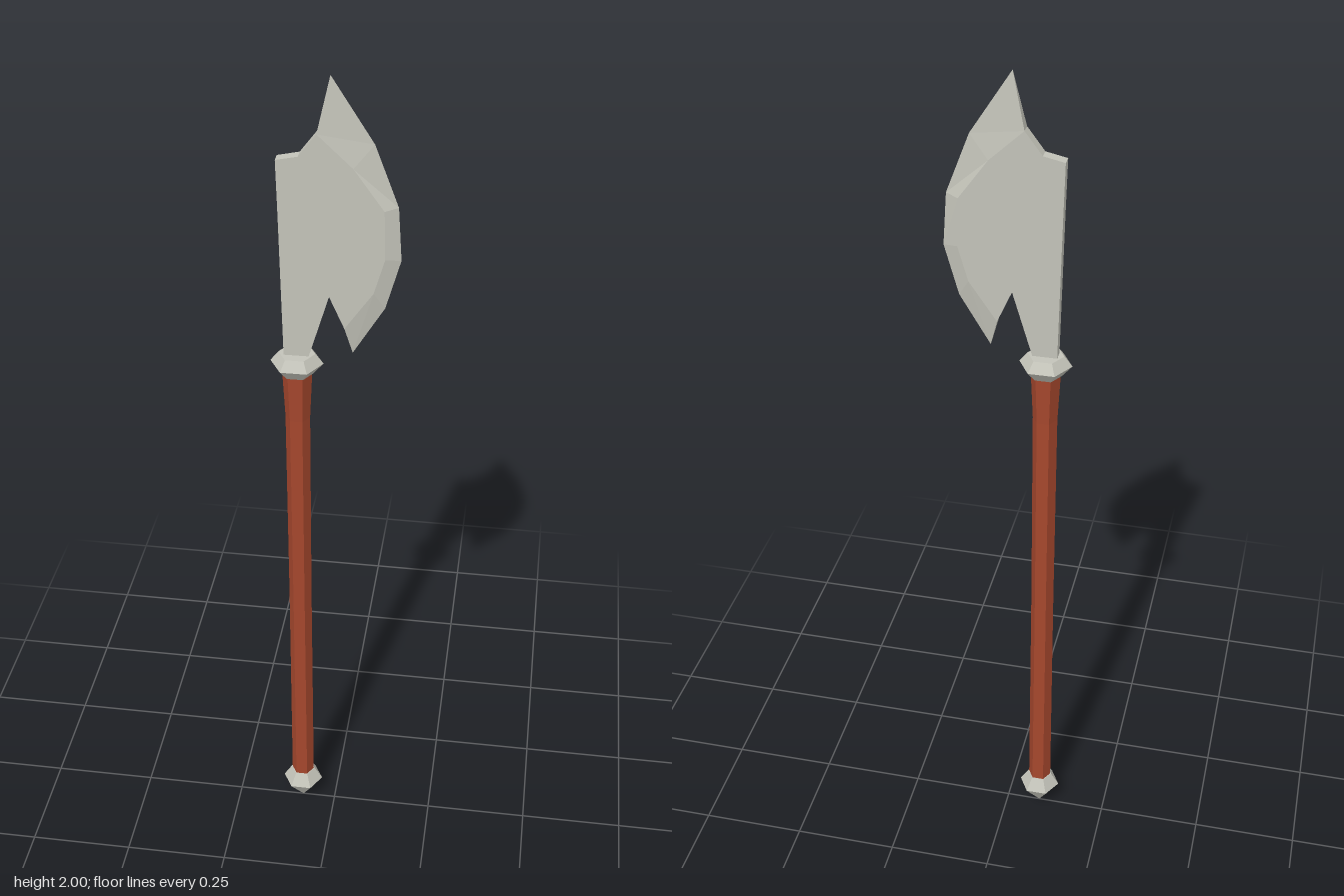
import * as THREE from 'three';

const steel = new THREE.MeshStandardMaterial({ color: 0xc3c3b9, flatShading: true });
steel.name = 'steel';
const wood = new THREE.MeshStandardMaterial({ color: 0xa5472d, flatShading: true });
wood.name = 'red wood';

const SHAFT_X = -0.083;
const HALF = 0.0125; // half thickness of the blade

// Six-sided turned part with corners pointing along x; profile runs bottom to top
function hexPart(name, profile, material) {
  let geometry = new THREE.LatheGeometry(profile.map(([r, y]) => new THREE.Vector2(r, y)), 6, Math.PI / 2);
  geometry = geometry.toNonIndexed();
  geometry.computeVertexNormals();
  const mesh = new THREE.Mesh(geometry, material);
  mesh.name = name;
  mesh.position.x = SHAFT_X;
  return mesh;
}

function bladeGeometry() {
  // Clockwise from the top of the bevel: inner bevel line and sharp edge, matched point for point
  const inner = [[-0.035, 1.88], [0.04, 1.81], [0.105, 1.72], [0.108, 1.61], [0.085, 1.53], [0.023, 1.44]];
  const edge = [[-0.008, 2.0], [0.082, 1.86], [0.133, 1.725], [0.141, 1.605], [0.109, 1.49], [0.04, 1.375]];
  // Notch, neck, spine and top horn continue the outline back to the start
  const blunt = [[-0.01, 1.515], [-0.058, 1.355], [-0.11, 1.355], [-0.117, 1.7], [-0.12, 1.82], [-0.073, 1.83]];
  const body = [...inner, ...blunt];
  const positions = [];
  const at = ([x, y], z) => [x, y, z];
  const tri = (a, b, c) => positions.push(...a, ...b, ...c);
  const mirrored = (a, b, c) => { // front triangle and its copy on the back
    tri(a, b, c);
    const flip = ([x, y, z]) => [x, y, -z];
    tri(flip(a), flip(c), flip(b));
  };

  // Flat cheeks
  const points = body.map(([x, y]) => new THREE.Vector2(x, y));
  for (const [i, j, k] of THREE.ShapeUtils.triangulateShape(points, [])) {
    const ccw = THREE.ShapeUtils.area([points[i], points[j], points[k]]) > 0;
    mirrored(at(body[i], HALF), at(body[ccw ? j : k], HALF), at(body[ccw ? k : j], HALF));
  }
  // Bevels down to the sharp edge
  for (let i = 0; i < inner.length - 1; i++) {
    const a = at(inner[i], HALF), b = at(inner[i + 1], HALF);
    const c = at(edge[i + 1], 0), d = at(edge[i], 0);
    mirrored(a, b, c);
    mirrored(a, c, d);
  }
  // Wall around the blunt outline
  for (let i = inner.length - 1; i < body.length; i++) {
    const p = body[i], q = body[(i + 1) % body.length];
    tri(at(p, HALF), at(q, -HALF), at(p, -HALF));
    tri(at(p, HALF), at(q, HALF), at(q, -HALF));
  }
  // Closing triangles at the two tips
  const last = inner.length - 1;
  tri(at(inner[0], HALF), at(edge[0], 0), at(inner[0], -HALF));
  tri(at(inner[last], HALF), at(inner[last], -HALF), at(edge[last], 0));

  const geometry = new THREE.BufferGeometry();
  geometry.setAttribute('position', new THREE.Float32BufferAttribute(positions, 3));
  geometry.computeVertexNormals();
  return geometry;
}

export function createModel() {
  const group = new THREE.Group();
  group.name = 'axe';

  group.add(hexPart('pommel', [[0, 0], [0.05, 0.067], [0.03, 0.1], [0, 0.1]], steel));
  group.add(hexPart('handle', [[0.028, 0.095], [0.027, 0.7], [0.028, 1.2], [0.034, 1.325]], wood));
  group.add(hexPart('collar', [[0, 1.315], [0.036, 1.315], [0.059, 1.342], [0.041, 1.365], [0, 1.365]], steel));

  const blade = new THREE.Mesh(bladeGeometry(), steel);
  blade.name = 'blade';
  group.add(blade);
  return group;
}
